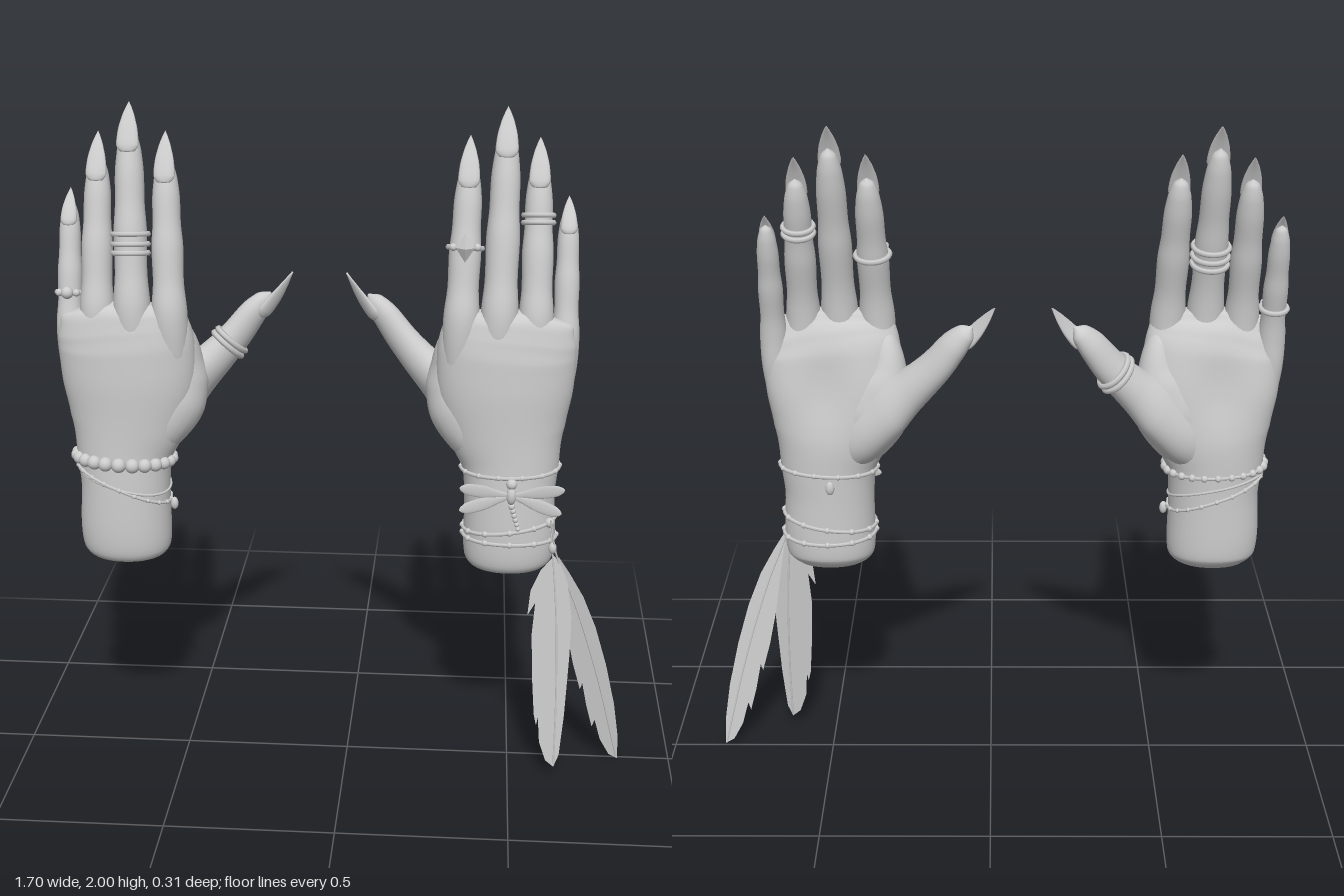
import * as THREE from 'three';

const grey = new THREE.MeshStandardMaterial({ color: 0xcccccc });
const thin = new THREE.MeshStandardMaterial({ color: 0xcccccc, side: THREE.DoubleSide });
const V = (x, y, z) => new THREE.Vector3(x, y, z);
const FRONT = V(0, 0, 1);

function add(group, name, geometry, material = grey) {
  const mesh = new THREE.Mesh(geometry, material);
  mesh.name = name;
  group.add(mesh);
}

// A limb: centre line and radii from rows of [x, y, z, sideRadius, backRadius]
function limb(rows, ref = FRONT, power = 1, warp = null) {
  const line = new THREE.CatmullRomCurve3(rows.map(r => V(r[0], r[1], r[2])));
  const radii = new THREE.CatmullRomCurve3(rows.map(r => V(r[3], r[4], 0)), false, 'catmullrom', 0.4);
  const bend = v => Math.sign(v) * Math.pow(Math.abs(v), power);
  function frame(u) {
    const t = line.getTangent(u);
    const side = t.clone().cross(ref).normalize();
    return { c: line.getPoint(u), side, back: side.clone().cross(t).normalize(), r: radii.getPoint(u) };
  }
  function point(u, angle, grow = 0) {
    const f = frame(u);
    const p = f.c.clone()
      .addScaledVector(f.side, bend(Math.cos(angle)) * (Math.max(f.r.x, 0.0005) + grow))
      .addScaledVector(f.back, bend(Math.sin(angle)) * (Math.max(f.r.y, 0.0005) + grow));
    return warp ? warp(p, f.c) : p;
  }
  // Parameter at which the centre line reaches height y
  function atHeight(y) {
    let lo = 0, hi = 1;
    for (let i = 0; i < 24; i++) {
      const mid = (lo + hi) / 2;
      if (line.getPoint(mid).y < y) lo = mid; else hi = mid;
    }
    return lo;
  }
  return { frame, point, atHeight };
}

// Skin over a limb
function loft(path, steps = 40, sides = 24) {
  const pos = [], index = [];
  for (let i = 0; i <= steps; i++)
    for (let j = 0; j < sides; j++) pos.push(...path.point(i / steps, j / sides * Math.PI * 2).toArray());
  for (let i = 0; i < steps; i++)
    for (let j = 0; j < sides; j++) {
      const k = (j + 1) % sides, a = i * sides + j, b = i * sides + k;
      index.push(a, a + sides, b, b, a + sides, b + sides);
    }
  const g = new THREE.BufferGeometry();
  g.setAttribute('position', new THREE.Float32BufferAttribute(pos, 3));
  g.setIndex(index);
  g.computeVertexNormals();
  return g;
}

function ball(group, name, p, r, sx = 1, sy = 1, sz = 1) {
  add(group, name, new THREE.SphereGeometry(r, 14, 10).scale(sx, sy, sz).translate(p.x, p.y, p.z));
}

function tube(group, name, points, r, closed = false) {
  const curve = new THREE.CatmullRomCurve3(points, closed);
  add(group, name, new THREE.TubeGeometry(curve, closed ? 64 : 24, r, 6, closed));
}

// Closed loop round a limb; height may vary with the angle
function wrap(group, name, path, height, r, beads = 0, beadSize = () => 0.009) {
  const at = a => path.point(path.atHeight(typeof height === 'function' ? height(a) : height), a, r * 0.4);
  const loop = [];
  for (let i = 0; i < 32; i++) loop.push(at(i / 32 * Math.PI * 2));
  tube(group, name, loop, r, true);
  for (let i = 0; i < beads; i++) {
    const a = i / beads * Math.PI * 2;
    ball(group, name + 'Bead', at(a), beadSize(a));
  }
}

// Long pointed nail on the back of a fingertip
function nail(group, name, path, y, tip, r) {
  const u = path.atHeight(y), n = path.frame(u).back;
  const base = path.point(u, Math.PI / 2, -0.007);
  const rows = [[0, 0.1], [0.03, 0.45], [0.15, 0.7], [0.45, 0.62], [0.72, 0.4], [0.9, 0.18], [1, 0.02]].map(([k, w]) => {
    const p = base.clone().lerp(tip, k).addScaledVector(n, 0.005 * Math.sin(k * Math.PI));
    return [p.x, p.y, p.z, w * r, 0.003 + 0.016 * w * (1 - k)];
  });
  add(group, name, loft(limb(rows, n), 18, 14));
}

// Hand shape shared by both sides
function buildHand(group) {
  const palmHollow = (p, c) => {
    if (p.z < c.z) p.z += 0.028 * Math.exp(-(((p.x - 0.48) / 0.09) ** 2) - ((p.y - 1.22) / 0.12) ** 2);
    p.y -= 0.25 * Math.max(0, p.x - 0.52) * Math.max(0, Math.min(1, (p.y - 1.3) / 0.1));
    return p;
  };
  const palm = limb([
    [0.482, 0.65, 0.01, 0.003, 0.003], [0.482, 0.656, 0.01, 0.1, 0.076], [0.482, 0.685, 0.012, 0.13, 0.102],
    [0.484, 0.75, 0.013, 0.136, 0.107], [0.481, 0.88, 0.012, 0.133, 0.105], [0.48, 0.98, 0.008, 0.144, 0.103],
    [0.466, 1.08, 0.005, 0.172, 0.104], [0.458, 1.2, 0.008, 0.197, 0.102], [0.46, 1.31, 0.018, 0.2, 0.088],
    [0.465, 1.37, 0.026, 0.194, 0.07], [0.467, 1.41, 0.031, 0.183, 0.053], [0.467, 1.438, 0.03, 0.165, 0.032],
    [0.467, 1.447, 0.03, 0.02, 0.005],
  ], FRONT, 0.95, palmHollow);
  add(group, 'palmAndWrist', loft(palm, 72, 48));

  const parts = { palm };
  // name, root x, tip x, web y, nail base y, nail tip y, root z, tip z, radius
  for (const [name, x0, x1, y0, yn, yt, z0, z1, r] of [
    ['index', 0.328, 0.342, 1.42, 1.775, 1.92, 0.034, -0.062, 0.044],
    ['middle', 0.436, 0.445, 1.43, 1.86, 2.0, 0.037, -0.072, 0.046],
    ['ring', 0.54, 0.538, 1.42, 1.775, 1.915, 0.026, -0.074, 0.043],
    ['little', 0.626, 0.625, 1.37, 1.645, 1.75, 0.004, -0.072, 0.034],
  ]) {
    const end = yn + 0.075;
    const rows = [[-0.6, 0.6], [-0.25, 1.1], [0, 1.17], [0.2, 1.01], [0.42, 1.04], [0.58, 0.92], [0.74, 0.9], [0.87, 0.75], [0.96, 0.47], [1, 0.03]]
      .map(([s, w]) => [x0 + (x1 - x0) * s, y0 + (end - y0) * s, z0 + (z1 - z0) * Math.max(0, s) ** 1.15, w * r, w * r]);
    const path = parts[name] = limb(rows);
    add(group, name + 'Finger', loft(path));
    nail(group, name + 'Nail', path, yn, V(x1, yt, z1 - 0.018), r);
  }

  const thumb = parts.thumb = limb([
    [0.44, 0.96, 0.0, 0.04, 0.05], [0.38, 1.07, -0.026, 0.085, 0.07], [0.302, 1.17, -0.05, 0.093, 0.064],
    [0.222, 1.243, -0.078, 0.064, 0.052], [0.157, 1.312, -0.1, 0.054, 0.043], [0.105, 1.38, -0.114, 0.046, 0.037],
    [0.07, 1.42, -0.122, 0.031, 0.026], [0.052, 1.44, -0.125, 0.003, 0.003],
  ], V(-0.6, -0.45, 0.65).normalize());
  add(group, 'thumb', loft(thumb, 48, 28));
  nail(group, 'thumbNail', thumb, 1.385, V(-0.012, 1.5, -0.137), 0.042);

  // Muscle and web that join the thumb to the palm
  add(group, 'thumbWeb', loft(limb([
    [0.42, 0.98, 0.005, 0.04, 0.05], [0.385, 1.05, 0.0, 0.085, 0.085], [0.342, 1.14, -0.01, 0.105, 0.086],
    [0.312, 1.22, -0.016, 0.087, 0.07], [0.3, 1.285, -0.008, 0.055, 0.054], [0.305, 1.35, 0.008, 0.038, 0.04],
    [0.32, 1.41, 0.025, 0.004, 0.004],
  ])));
  return parts;
}

// Reflects finished geometry into the opposite hand
function mirrorAcross(group, sum) {
  group.traverse(o => {
    if (!o.isMesh) return;
    const { position: p, normal: n } = o.geometry.attributes, idx = o.geometry.index;
    for (let i = 0; i < p.count; i++) { p.setX(i, sum - p.getX(i)); n.setX(i, -n.getX(i)); }
    for (let i = 0; i < idx.count; i += 3) {
      const b = idx.getX(i + 1);
      idx.setX(i + 1, idx.getX(i + 2));
      idx.setX(i + 2, b);
    }
  });
}

// Flat feather with a shaft; z drifts with height
function feather(group, name, outline, shaft, drift) {
  const z = y => 0.08 + drift * (0.7 - y);
  const g = new THREE.ShapeGeometry(new THREE.Shape(outline.map(p => new THREE.Vector2(...p))));
  const pos = g.attributes.position;
  for (let i = 0; i < pos.count; i++) pos.setZ(i, z(pos.getY(i)));
  g.computeVertexNormals();
  add(group, name + 'Vane', g, thin);
  tube(group, name + 'Shaft', shaft.map(([x, y]) => V(x, y, z(y))), 0.003);
}

export function createModel() {
  const model = new THREE.Group();

  // Right hand with rings, beads and slanted cords
  const right = new THREE.Group();
  right.name = 'rightHand';
  const r = buildHand(right);
  for (const y of [1.585, 1.61, 1.638]) wrap(right, 'middleFingerBand', r.middle, y, 0.008);
  wrap(right, 'littleFingerRing', r.little, 1.46, 0.008);
  for (const [a, s] of [[0.9, 0.011], [1.57, 0.018], [2.24, 0.011]])
    ball(right, 'littleRingStone', r.little.point(r.little.atHeight(1.46), a, 0.006), s);
  for (const y of [1.287, 1.3]) wrap(right, 'thumbRing', r.thumb, y, 0.009);
  wrap(right, 'beadBracelet', r.palm, 0.967, 0.005, 24, a => 0.016 + 0.006 * Math.sin(a));
  wrap(right, 'slantedCord', r.palm, a => 0.89 + 0.055 * Math.cos(a), 0.005, 20, () => 0.007);
  wrap(right, 'thinCord', r.palm, a => 0.91 + 0.04 * Math.cos(a + 0.5), 0.004);
  ball(right, 'cordCharm', V(0.335, 0.82, 0.02), 0.013, 0.9, 1.5, 0.9);
  mirrorAcross(right, -0.183);

  // Left hand with rings, cords, winged charm and feathers
  const left = new THREE.Group();
  left.name = 'leftHand';
  const l = buildHand(left);
  wrap(left, 'indexRing', l.index, 1.615, 0.008);
  const stone = l.index.point(l.index.atHeight(1.615), Math.PI / 2, 0.012);
  add(left, 'indexRingStone', new THREE.OctahedronGeometry(1).scale(0.027, 0.042, 0.018).translate(...stone.toArray()));
  for (const s of [-1, 1]) ball(left, 'indexRingSideStone', stone.clone().add(V(s * 0.034, 0, -0.01)), 0.011);
  for (const y of [1.685, 1.705]) wrap(left, 'ringFingerBand', l.ring, y, 0.008);
  wrap(left, 'upperCord', l.palm, a => 0.965 - 0.006 * Math.sin(a), 0.006, 14, () => 0.008);
  wrap(left, 'middleCord', l.palm, a => 0.795 + 0.018 * Math.cos(a), 0.006, 12, () => 0.009);
  wrap(left, 'lowerCord', l.palm, a => 0.752 + 0.006 * Math.sin(a), 0.006, 12, () => 0.009);
  ball(left, 'backCharm', V(0.47, 0.935, -0.105), 0.013, 1, 1.6, 0.8);

  // Winged charm on the back of the wrist
  const hub = V(0.485, 0.915, 0.127);
  for (const [x, y] of [[0.335, 0.945], [0.335, 0.875], [0.637, 0.947], [0.63, 0.872]]) {
    const rows = [[0, 0.006], [0.2, 0.01], [0.55, 0.019], [0.85, 0.017], [0.97, 0.008], [1, 0.001]].map(([k, w]) => {
      const p = hub.clone().lerp(V(x, y, 0.15), k);
      return [p.x, p.y, p.z, w, 0.003 * Math.min(1, w / 0.01)];
    });
    add(left, 'charmWing', loft(limb(rows), 16, 12));
  }
  ball(left, 'charmHead', V(0.485, 0.95, 0.124), 0.016);
  ball(left, 'charmBody', hub, 0.015, 1, 1.8, 1);
  for (let i = 0; i < 6; i++) ball(left, 'charmTail', V(0.487 + 0.004 * i, 0.88 - 0.014 * i, 0.122), 0.0095 - 0.0005 * i);

  // Feathers on a knotted string
  ball(left, 'featherKnot', V(0.6, 0.815, 0.078), 0.015);
  ball(left, 'featherBead', V(0.612, 0.735, 0.08), 0.012, 1, 1.5, 1);
  feather(left, 'innerFeather', [
    [0.618, 0.71], [0.58, 0.665], [0.552, 0.6], [0.545, 0.52], [0.567, 0.56], [0.56, 0.46], [0.566, 0.32], [0.575, 0.2],
    [0.583, 0.165], [0.588, 0.19], [0.594, 0.11], [0.615, 0.05], [0.64, 0.03], [0.655, 0.07], [0.666, 0.2], [0.675, 0.4],
    [0.676, 0.52], [0.66, 0.63], [0.635, 0.69],
  ], [[0.6, 0.83], [0.615, 0.7], [0.632, 0.5], [0.64, 0.25], [0.64, 0.04]], 0.072);
  feather(left, 'outerFeather', [
    [0.63, 0.71], [0.665, 0.655], [0.71, 0.575], [0.752, 0.47], [0.79, 0.34], [0.822, 0.2], [0.84, 0.08], [0.842, 0],
    [0.815, 0.015], [0.785, 0.07], [0.766, 0.14], [0.758, 0.115], [0.738, 0.19], [0.722, 0.27], [0.715, 0.25],
    [0.69, 0.34], [0.667, 0.45], [0.65, 0.57], [0.635, 0.66],
  ], [[0.603, 0.83], [0.625, 0.71], [0.69, 0.54], [0.765, 0.3], [0.838, 0.01]], -0.1);

  model.add(right, left);
  return model;
}
